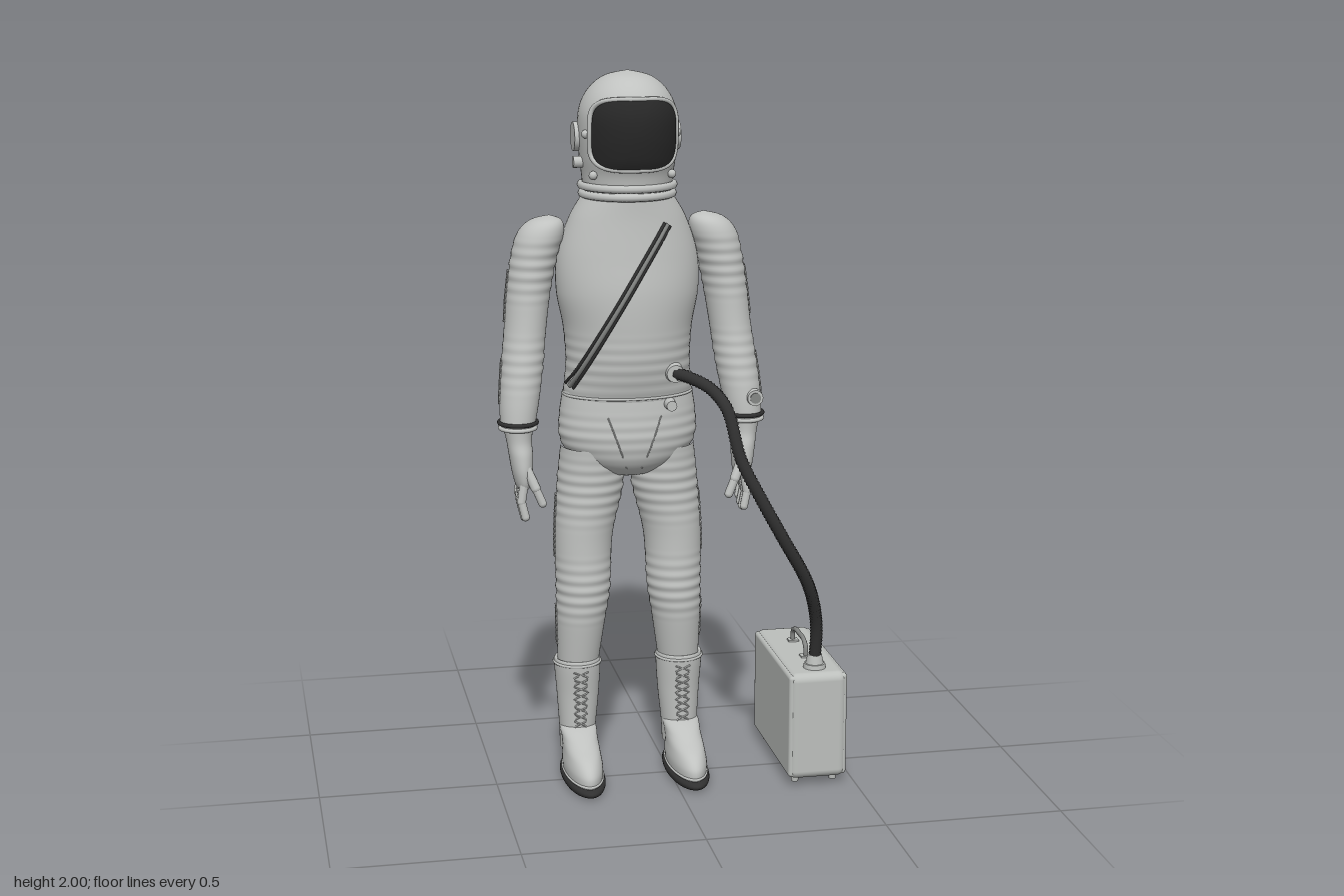
import * as THREE from 'three';
import { RoundedBoxGeometry } from 'three/addons/geometries/RoundedBoxGeometry.js';

const material = (name, color) => Object.assign(new THREE.MeshStandardMaterial({ color }), { name });
const V = (x, y, z) => new THREE.Vector3(x, y, z);

// Cross-section rows, bottom to top: [y, centreX, centreZ, radiusX, radiusZ]
const TORSO = [[1.09, 0, -0.08, 0.183, 0.118], [1.2, 0, -0.07, 0.174, 0.137], [1.3, 0, -0.072, 0.18, 0.147],
  [1.4, 0, -0.072, 0.198, 0.147], [1.5, 0, -0.075, 0.195, 0.138], [1.6, 0, -0.07, 0.162, 0.122], [1.67, 0, -0.066, 0.12, 0.115]];
const PELVIS = [[0.87, 0, -0.08, 0, 0], [0.883, 0, -0.08, 0.075, 0.07], [0.92, 0, -0.08, 0.15, 0.112],
  [0.98, 0, -0.08, 0.191, 0.128], [1.05, 0, -0.08, 0.192, 0.126], [1.12, 0, -0.08, 0.182, 0.119]];
const HELMET = [[1.66, 0, -0.066, 0.12, 0.12], [1.72, 0, -0.066, 0.126, 0.128], [1.77, 0, -0.064, 0.132, 0.146],
  [1.84, 0, -0.06, 0.136, 0.154], [1.9, 0, -0.06, 0.131, 0.149], [1.95, 0, -0.06, 0.106, 0.121],
  [1.985, 0, -0.06, 0.062, 0.071], [2, 0, -0.06, 0, 0]];
const ARM = [[1.03, 0.32, -0.003, 0.046, 0.05], [1.1, 0.313, -0.018, 0.054, 0.059], [1.2, 0.3, -0.04, 0.058, 0.065],
  [1.3, 0.288, -0.06, 0.058, 0.068], [1.4, 0.276, -0.073, 0.061, 0.072], [1.5, 0.258, -0.076, 0.064, 0.073],
  [1.56, 0.24, -0.076, 0.064, 0.069], [1.595, 0.225, -0.076, 0.044, 0.048], [1.61, 0.215, -0.076, 0, 0]];
const LEG = [[0.3, 0.147, -0.085, 0.056, 0.058], [0.45, 0.138, -0.075, 0.069, 0.072], [0.55, 0.131, -0.073, 0.077, 0.079],
  [0.7, 0.127, -0.08, 0.082, 0.083], [0.85, 0.106, -0.087, 0.094, 0.095], [0.96, 0.1, -0.085, 0.088, 0.1]];
const BOOT = [[0.07, 0.15, -0.083, 0.05, 0.058], [0.13, 0.149, -0.084, 0.052, 0.058], [0.23, 0.147, -0.086, 0.06, 0.062],
  [0.33, 0.148, -0.084, 0.066, 0.068], [0.335, 0.148, -0.084, 0.055, 0.056]];
const SHOE = [[0.022, 0.15, 0.008, 0.052, 0.151], [0.055, 0.15, 0.006, 0.054, 0.15], [0.085, 0.15, -0.008, 0.051, 0.132],
  [0.11, 0.15, -0.038, 0.05, 0.098], [0.14, 0.15, -0.078, 0.048, 0.06], [0.15, 0.15, -0.08, 0, 0]];
const SOLE = [[0, 0.15, 0.008, 0, 0], [0, 0.15, 0.008, 0.051, 0.15], [0.024, 0.15, 0.008, 0.055, 0.154], [0.026, 0.15, 0.008, 0, 0]];
const GLOVE = [[0.86, 0.308, 0.004, 0, 0], [0.87, 0.308, 0.004, 0.018, 0.04], [0.91, 0.31, 0.006, 0.028, 0.05],
  [0.96, 0.313, 0.004, 0.033, 0.048], [1.0, 0.317, 0, 0.035, 0.042], [1.05, 0.319, -0.005, 0.044, 0.048]];

// Smooth section at parameter t in 0..1 along the rows
function section(rows, t) {
  const n = rows.length - 1, f = Math.min(t * n, n - 1e-6), i = Math.floor(f), u = f - i;
  const r = k => rows[Math.max(0, Math.min(n, k))];
  return rows[0].map((_, c) => {
    const [a, b, d, e] = [r(i - 1)[c], r(i)[c], r(i + 1)[c], r(i + 2)[c]];
    const v = b + 0.5 * u * (d - a + u * (2 * a - 5 * b + 4 * d - e + u * (3 * (b - d) + e - a)));
    return c > 2 ? Math.max(0, v) : v;
  });
}
function sectionAt(rows, y) {
  let lo = 0, hi = 1;
  for (let k = 0; k < 24; k++) {
    const m = (lo + hi) / 2;
    if (section(rows, m)[0] < y) lo = m; else hi = m;
  }
  return section(rows, lo);
}
// Skin of elliptical rings; folds are [fromY, toY, amount]
function loft(rows, s = 1, steps = 40, folds = [], sides = 40) {
  const pos = [], idx = [];
  for (let j = 0; j <= steps; j++) {
    const [y, cx, cz, rx, rz] = section(rows, j / steps);
    let k = 1;
    for (const [a, b, amp] of folds)
      if (y > a && y < b) k += amp * Math.sin((y - a) / (b - a) * Math.PI) * Math.sin(y * 2 * Math.PI / 0.032);
    for (let i = 0; i < sides; i++) {
      const a = i / sides * Math.PI * 2;
      pos.push(cx * s + Math.cos(a) * rx * k, y, cz + Math.sin(a) * rz * k);
      const p = j * sides + i, q = j * sides + (i + 1) % sides;
      if (j < steps) idx.push(p, p + sides, q, q, p + sides, q + sides);
    }
  }
  const g = new THREE.BufferGeometry();
  g.setAttribute('position', new THREE.Float32BufferAttribute(pos, 3));
  g.setIndex(idx);
  g.computeVertexNormals();
  return g;
}
// Point on a lofted skin by height and angle, or by height and x on the front
function onSkin(rows, s, y, a, off = 0) {
  const [, cx, cz, rx, rz] = sectionAt(rows, y);
  return V(s * (cx + Math.cos(a) * (rx + off)), y, cz + Math.sin(a) * (rz + off));
}
function onFront(rows, x, y, off = 0) {
  const [, , cz, rx, rz] = sectionAt(rows, y);
  return V(x, y, cz + (rz + off) * Math.sqrt(Math.max(0, 1 - (x / (rx + off)) ** 2)));
}
const tube = (pts, r, segs = 40, closed = false, sides = 8) =>
  new THREE.TubeGeometry(new THREE.CatmullRomCurve3(pts, closed), segs, r, sides, closed);
const ringOn = (rows, s, y, r, off = 0) =>
  tube(Array.from({ length: 24 }, (_, i) => onSkin(rows, s, y, i * Math.PI / 12, off)), r, 64, true);

export function createModel() {
  const suit = material('suitGrey', 0xc0c2c0), caseGrey = material('caseGrey', 0xbcbfbc), metal = material('metalGrey', 0x858785);
  const dark = material('darkRubber', 0x303030), glass = material('visorGlass', 0x272727);
  const model = new THREE.Group(), figure = new THREE.Group();
  figure.name = 'suitedFigure';
  figure.position.x = -0.105;
  model.add(figure);
  const add = (name, geo, mat, parent = figure, x = 0, y = 0, z = 0) => {
    const m = new THREE.Mesh(geo, mat);
    m.name = name;
    m.position.set(x, y, z);
    parent.add(m);
    return m;
  };
  const capsule = (name, a, b, r) => {
    const d = b.clone().sub(a);
    const m = add(name, new THREE.CapsuleGeometry(r, d.length(), 4, 10), suit);
    m.position.copy(a).addScaledVector(d, 0.5);
    m.quaternion.setFromUnitVectors(V(0, 1, 0), d.normalize());
  };
  // Crossed cords between two heights, centred on an angle of the skin
  const lacing = (name, rows, s, y0, y1, angle, spread, n) => {
    for (const side of [-1, 1])
      add(name, tube(Array.from({ length: n + 1 }, (_, i) =>
        onSkin(rows, s, y0 + (y1 - y0) * i / n, angle + spread * side * (i % 2 ? 1 : -1), 0.002)), 0.0025, n * 5, false, 5), suit);
  };

  // Torso, pelvis and seams
  add('torso', loft(TORSO, 1, 100, [[1.08, 1.3, 0.008]], 56), suit);
  add('pelvis', loft(PELVIS, 1, 80, [[0.92, 1.08, 0.008]], 56), suit);
  add('waistSeam', ringOn(TORSO, 1, 1.11, 0.004), suit);
  for (const s of [-1, 1])
    add('pelvisSeam', tube([0, 1, 2, 3].map(i => onFront(PELVIS, s * (0.075 - 0.018 * i), 1.06 - 0.05 * i)), 0.002), suit);

  // Diagonal zip across the chest
  const zip = shift => Array.from({ length: 13 }, (_, i) => {
    const t = i / 12;
    return onFront(TORSO, 0.092 - 0.262 * t - 0.012 * Math.sin(t * Math.PI) + shift * 0.86, 1.59 - 0.45 * t - shift * 0.5, 0.002);
  });
  add('zipTeeth', tube(zip(0), 0.007), metal);
  for (const d of [-0.009, 0.009]) add('zipEdge', tube(zip(d), 0.0045), dark);

  // Helmet, visor and neck rings
  add('helmet', loft(HELMET, 1, 60, [], 56), suit);
  for (const y of [1.667, 1.69]) add('neckRing', ringOn(HELMET, 1, y, 0.011, 0.004), suit);
  const bend = v => Math.sign(v) * Math.abs(v) ** 0.5;
  const visorPoint = (r, a, off) => onFront(HELMET, 0.115 * r * bend(Math.cos(a)), 1.837 + 0.092 * r * bend(Math.sin(a)), off);
  const pos = [], idx = [], N = 64, R = 14;
  for (let j = 0; j <= R; j++) for (let i = 0; i < N; i++) {
    pos.push(...visorPoint(j / R, i / N * Math.PI * 2, 0.009).toArray());
    const p = j * N + i, q = j * N + (i + 1) % N;
    if (j < R) idx.push(p, p + N, q + N, p, q + N, q);
  }
  const visor = new THREE.BufferGeometry();
  visor.setAttribute('position', new THREE.Float32BufferAttribute(pos, 3));
  visor.setIndex(idx);
  visor.computeVertexNormals();
  add('visor', visor, glass);
  add('visorFrame', tube(Array.from({ length: N }, (_, i) => visorPoint(1.03, i / N * Math.PI * 2, 0.004)), 0.007, 128, true), suit);
  for (const s of [-1, 1]) {
    add('earDisc', new THREE.CylinderGeometry(0.04, 0.04, 0.03, 32), suit, figure, s * 0.132, 1.82, -0.085).rotation.z = Math.PI / 2;
    for (const [y, z] of [[1.835, 0], [1.725, 0.015]])
      add('helmetKnob', new THREE.SphereGeometry(0.012, 12, 8), suit, figure, s * (y > 1.8 ? 0.125 : 0.108), y, z);
  }
  add('valveKnob', new THREE.CylinderGeometry(0.016, 0.016, 0.04, 16), suit, figure, -0.132, 1.755, -0.05).rotation.z = Math.PI / 2;

  // Limbs on both sides
  for (const s of [-1, 1]) {
    add('arm', loft(ARM, s, 150, [[1.36, 1.56, 0.025], [1.12, 1.3, 0.02]]), suit);
    lacing('armLacing', ARM, s, 1.32, 1.46, 0, 0.13, 10);
    lacing('armLacing', ARM, s, 1.1, 1.22, 0, 0.13, 8);
    add('wristBand', ringOn(ARM, s, 1.05, 0.006, 0.003), dark);
    add('wristRing', ringOn(ARM, s, 1.036, 0.006, 0.002), suit);
    add('glove', loft(GLOVE, s), suit);
    for (let i = 0; i < 4; i++) {
      const z = 0.037 - i * 0.023, drop = [0.005, 0, 0.006, 0.02][i];
      capsule('finger', V(s * 0.309, 0.89, z), V(s * 0.318, 0.83 + drop, z + 0.004), 0.0125);
      capsule('fingerTip', V(s * 0.318, 0.83 + drop, z + 0.004), V(s * 0.308, 0.787 + drop, z + 0.008), 0.0115);
    }
    capsule('thumb', V(s * 0.308, 0.94, 0.035), V(s * 0.28, 0.875, 0.053), 0.014);
    capsule('thumbTip', V(s * 0.28, 0.875, 0.053), V(s * 0.262, 0.832, 0.056), 0.012);

    add('leg', loft(LEG, s, 150, [[0.72, 0.95, 0.018], [0.44, 0.66, 0.022]]), suit);
    lacing('legLacing', LEG, s, 0.64, 0.82, 0, 0.1, 12);
    lacing('legLacing', LEG, s, 0.38, 0.5, 0, 0.1, 8);
    add('boot', loft(BOOT, s), suit);
    add('bootCuff', ringOn(BOOT, s, 0.326, 0.004), suit);
    lacing('bootLacing', BOOT, s, 0.12, 0.31, Math.PI / 2, 0.32, 9);
    add('shoe', loft(SHOE, s), suit);
    add('toeSeam', ringOn(SHOE, s, 0.03, 0.004), suit);
    add('sole', loft(SOLE, s, 30), dark);
  }
  add('wristGauge', new THREE.CylinderGeometry(0.022, 0.024, 0.02, 24), suit, figure, 0.338, 1.1, 0.04).rotation.x = Math.PI / 2;
  add('gaugeFace', new THREE.CylinderGeometry(0.015, 0.015, 0.004, 24), metal, figure, 0.338, 1.1, 0.051).rotation.x = Math.PI / 2;

  // Chest ports
  for (const [x, y] of [[0.11, 1.18], [0.1, 1.09]]) {
    const r = y > 1.1 ? 0.03 : 0.018;
    add('suitPort', new THREE.CylinderGeometry(r * 0.8, r, 0.05, 24), suit, figure, x, y, 0.035).rotation.x = Math.PI / 2;
  }

  // Ribbed hose from the chest to the case
  const hose = tube([V(0.005, 1.18, 0.045), V(0.04, 1.172, 0.075), V(0.09, 1.148, 0.12), V(0.125, 1.1, 0.17), V(0.155, 0.97, 0.21),
    V(0.21, 0.855, 0.232), V(0.27, 0.745, 0.234), V(0.35, 0.6, 0.205), V(0.388, 0.47, 0.155), V(0.392, 0.35, 0.128)], 0.0165, 200, false, 14);
  const p = hose.attributes.position, n = hose.attributes.normal;
  for (let i = 0; i < p.count; i++) {
    const d = Math.floor(i / 15) % 2 ? 0.0015 : -0.0015;
    p.setXYZ(i, p.getX(i) + n.getX(i) * d, p.getY(i) + n.getY(i) * d, p.getZ(i) + n.getZ(i) * d);
  }
  hose.computeVertexNormals();
  add('hose', hose, dark, model);

  // Portable case
  const box = new THREE.Group();
  box.name = 'portableCase';
  box.position.set(0.39, 0, -0.028);
  model.add(box);
  add('caseBody', new RoundedBoxGeometry(0.165, 0.312, 0.44, 5, 0.024), caseGrey, box, 0, 0.176, 0);
  for (const s of [-1, 1]) {
    add('caseShell', new RoundedBoxGeometry(0.025, 0.3, 0.428, 3, 0.01), caseGrey, box, s * 0.0715, 0.176, 0);
    add('handleFoot', new THREE.BoxGeometry(0.03, 0.006, 0.026), caseGrey, box, 0, 0.334, -0.01 + s * 0.073);
    add('caseLatch', new THREE.BoxGeometry(0.004, 0.035, 0.03), caseGrey, box, 0.0845, 0.29, s * 0.12);
    for (const t of [-1, 1])
      add('caseFoot', new THREE.CylinderGeometry(0.012, 0.01, 0.026, 16), caseGrey, box, s * 0.055, 0.013, t * 0.17);
  }
  add('handle', tube([V(0, 0.33, 0.066), V(0, 0.362, 0.062), V(0, 0.376, 0.04), V(0, 0.378, -0.01),
    V(0, 0.376, -0.06), V(0, 0.362, -0.082), V(0, 0.33, -0.086)], 0.007), metal, box);
  for (let i = 0; i < 6; i++)
    add('grilleSlot', new THREE.BoxGeometry(0.004, 0.013, 0.17), dark, box, 0.084, 0.077 + i * 0.0235, 0.008);
  add('hoseFlange', new THREE.CylinderGeometry(0.03, 0.032, 0.014, 28), caseGrey, box, 0.002, 0.338, 0.156);
  add('hoseCollar', new THREE.CylinderGeometry(0.02, 0.026, 0.03, 28), caseGrey, box, 0.002, 0.356, 0.156);
  return model;
}
